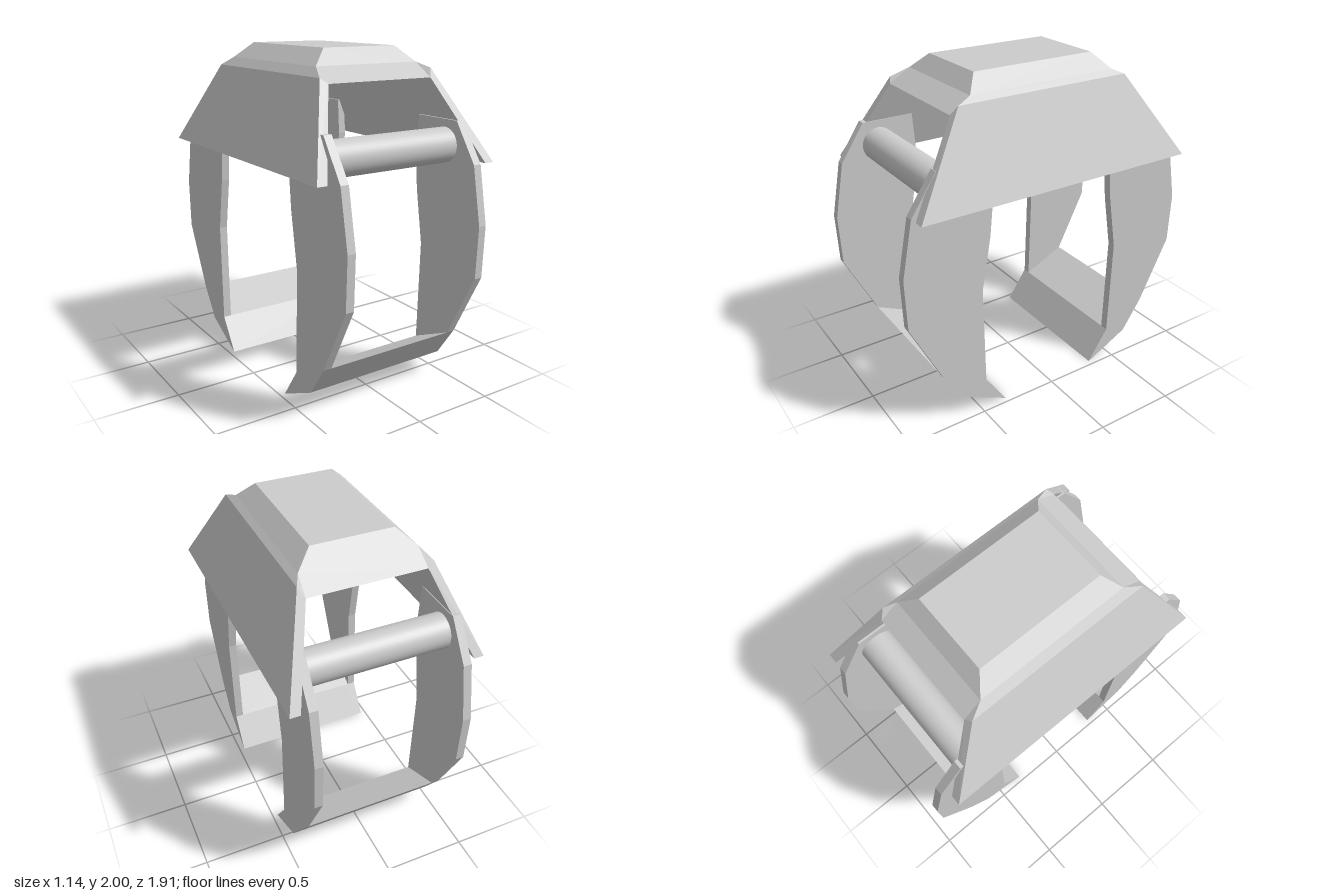
import * as THREE from 'three';
import { ConvexGeometry } from 'three/addons/geometries/ConvexGeometry.js';

const material = new THREE.MeshStandardMaterial({ color: 0xcccccc });
const flat = new THREE.MeshStandardMaterial({ color: 0xcccccc, flatShading: true });

function add(parent, name, geometry, mat = flat) {
  const mesh = new THREE.Mesh(geometry, mat);
  mesh.name = name;
  parent.add(mesh);
  return mesh;
}

// Extrudes a [z, y] outline along x, centred on cx
function sideExtrude(outline, cx, width) {
  const shape = new THREE.Shape(outline.map(([z, y]) => new THREE.Vector2(z, y)));
  const g = new THREE.ExtrudeGeometry(shape, { depth: width, bevelEnabled: false });
  g.rotateY(-Math.PI / 2);
  g.translate(cx + width / 2, 0, 0);
  return g;
}

// Convex solid whose points [x, y, zFront, zBack] are given as front/back pairs
function pairHull(rows) {
  return new ConvexGeometry(rows.flatMap(([x, y, f, b]) => [
    new THREE.Vector3(x, y, f), new THREE.Vector3(x, y, b),
  ]));
}

export function createModel() {
  const model = new THREE.Group();
  model.name = 'clawFrame';

  // Roof: two stacked tapered slabs
  const canopy = new THREE.Group();
  canopy.name = 'canopy';
  model.add(canopy);
  const top = [[-0.23, 2, 0.38, -0.4], [0.25, 2, 0.38, -0.4]];
  const ridge = [[-0.33, 1.91, 0.46, -0.48], [0.345, 1.91, 0.46, -0.48]];
  const ceiling = [[-0.335, 1.83, 0.585, -0.59], [0.35, 1.83, 0.585, -0.59]];
  add(canopy, 'roofTop', pairHull([...top, ...ridge]));
  add(canopy, 'roofEaves', pairHull([...ridge, ...ceiling]));

  // Slanted side panels flaring outwards
  add(canopy, 'leftPanel', pairHull([
    ridge[1], ceiling[1],
    [0.38, 1.88, 0.55, -0.55],
    [0.57, 1.375, 0.885, -0.89],
    [0.51, 1.375, 0.885, -0.89],
  ]));
  add(canopy, 'rightPanel', pairHull([
    ridge[0], ceiling[0],
    [-0.375, 1.86, 0.565, -0.57],
    [-0.57, 1.37, 0.84, -0.85],
    [-0.51, 1.37, 0.84, -0.85],
  ]));

  // Curved claw plates, [z, y] from the tip up the outside and down the inside
  const arm = [
    [0.33, 0], [0.615, 0.14], [0.745, 0.33], [0.945, 0.73], [0.955, 1.04],
    [0.89, 1.375], [0.74, 1.6], [0.42, 1.6], [0.405, 1.375], [0.425, 1.15],
    [0.48, 0.82], [0.465, 0.2],
  ];
  // Blade that joins the lower ends of two plates
  const blade = [[0.33, 0], [0.615, 0.14], [0.745, 0.33], [0.465, 0.2]];

  for (const end of [1, -1]) {
    const claw = new THREE.Group();
    claw.name = end > 0 ? 'frontClaw' : 'backClaw';
    model.add(claw);
    const mirror = (outline) => outline.map(([z, y]) => [z * end, y]);
    add(claw, 'leftArm', sideExtrude(mirror(arm), 0.443, 0.05));
    add(claw, 'rightArm', sideExtrude(mirror(arm), -0.443, 0.05));
    add(claw, 'blade', sideExtrude(mirror(blade), 0, 0.836));

    // Round cross bar near the top of the plates
    const rod = new THREE.CylinderGeometry(0.102, 0.102, 0.85, 40);
    rod.rotateZ(Math.PI / 2);
    add(claw, 'crossBar', rod, material).position.set(0, 1.454, 0.648 * end);
  }
  return model;
}
